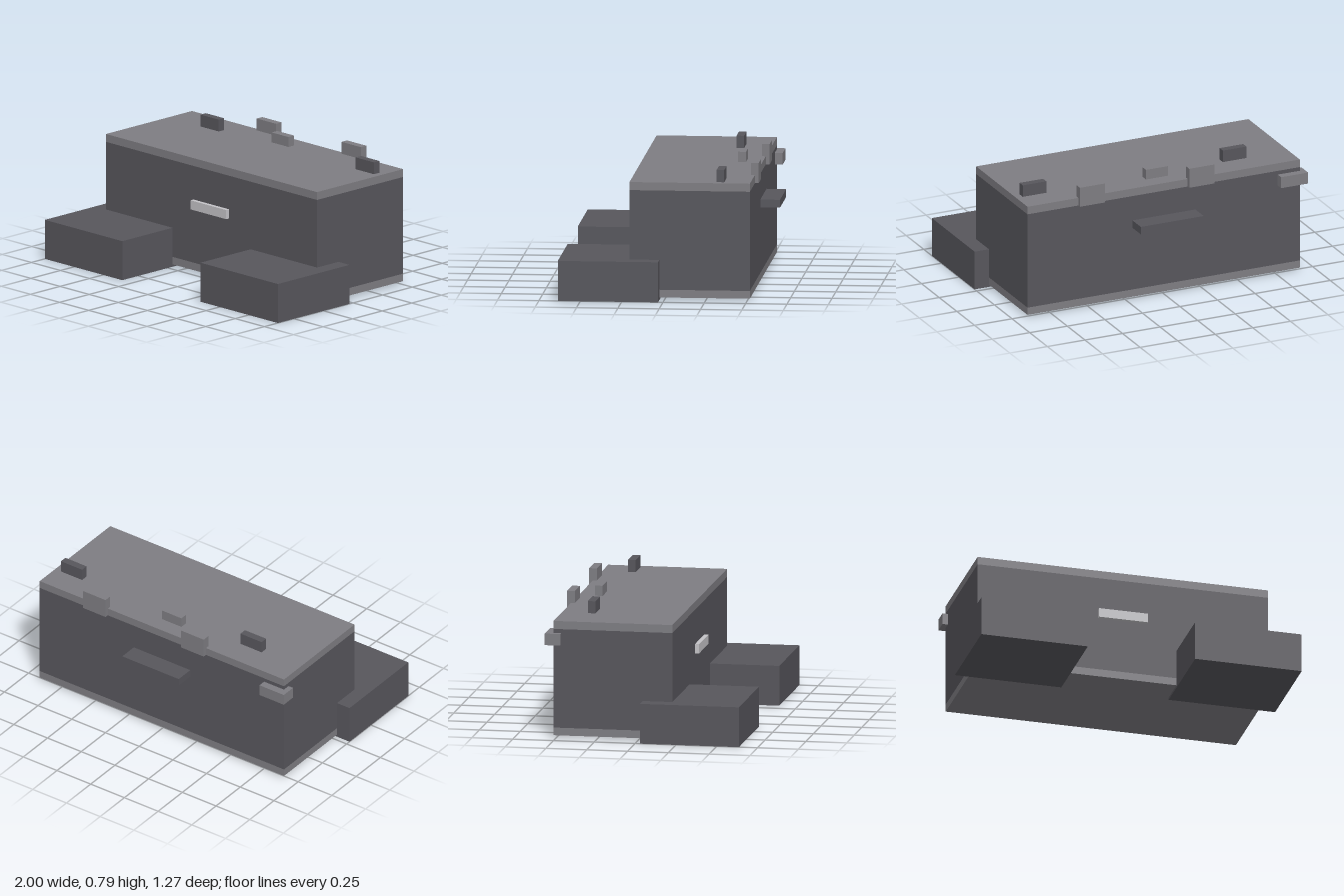
import * as THREE from 'three';

export function createModel() {
  const model = new THREE.Group();
  const dark = new THREE.MeshStandardMaterial({ name: 'darkGrey', color: 0x57565c });
  const mid = new THREE.MeshStandardMaterial({ name: 'midGrey', color: 0x7e7d82 });
  const light = new THREE.MeshStandardMaterial({ name: 'lightGrey', color: 0xc4c3c7 });

  // Box given by its extents on each axis
  function box(name, material, [x0, x1], [y0, y1], [z0, z1]) {
    const mesh = new THREE.Mesh(new THREE.BoxGeometry(x1 - x0, y1 - y0, z1 - z0), material);
    mesh.position.set((x0 + x1) / 2, (y0 + y1) / 2, (z0 + z1) / 2);
    mesh.name = name;
    model.add(mesh);
  }

  // Body: dark walls between a lighter base and lid
  const bodyX = [-0.907, 0.905], bodyZ = [-0.517, 0.211];
  box('base', mid, bodyX, [0.015, 0.062], bodyZ);
  box('body', dark, bodyX, [0.062, 0.667], bodyZ);
  box('lid', mid, bodyX, [0.667, 0.716], bodyZ);

  // Front feet
  box('rightFoot', dark, [-1, -0.335], [0, 0.244], [0.03, 0.636]);
  box('leftFoot', dark, [0.335, 1], [0, 0.244], [0.03, 0.636]);

  // Front plate
  box('frontPlate', light, [-0.155, 0.15], [0.4, 0.457], [0.211, 0.236]);

  // Blocks standing on the lid
  for (const x of [-0.627, 0.705]) {
    box('darkLidBlock', dark, [x, x + 0.157], [0.716, 0.79], [-0.358, -0.312]);
  }
  box('smallLidBlock', mid, [-0.075, 0.07], [0.716, 0.778], [-0.418, -0.37]);

  // Tabs over the rear edge of the lid
  for (const x of [-0.328, 0.4]) {
    box('rearTab', mid, [x, x + 0.167], [0.667, 0.79], [-0.54, -0.493]);
  }

  // Rear shelf and corner clip
  box('rearShelf', dark, [-0.212, 0.207], [0.462, 0.51], [-0.636, -0.517]);
  box('cornerClip', mid, [-0.94, -0.76], [0.572, 0.643], [-0.565, -0.47]);

  return model;
}
